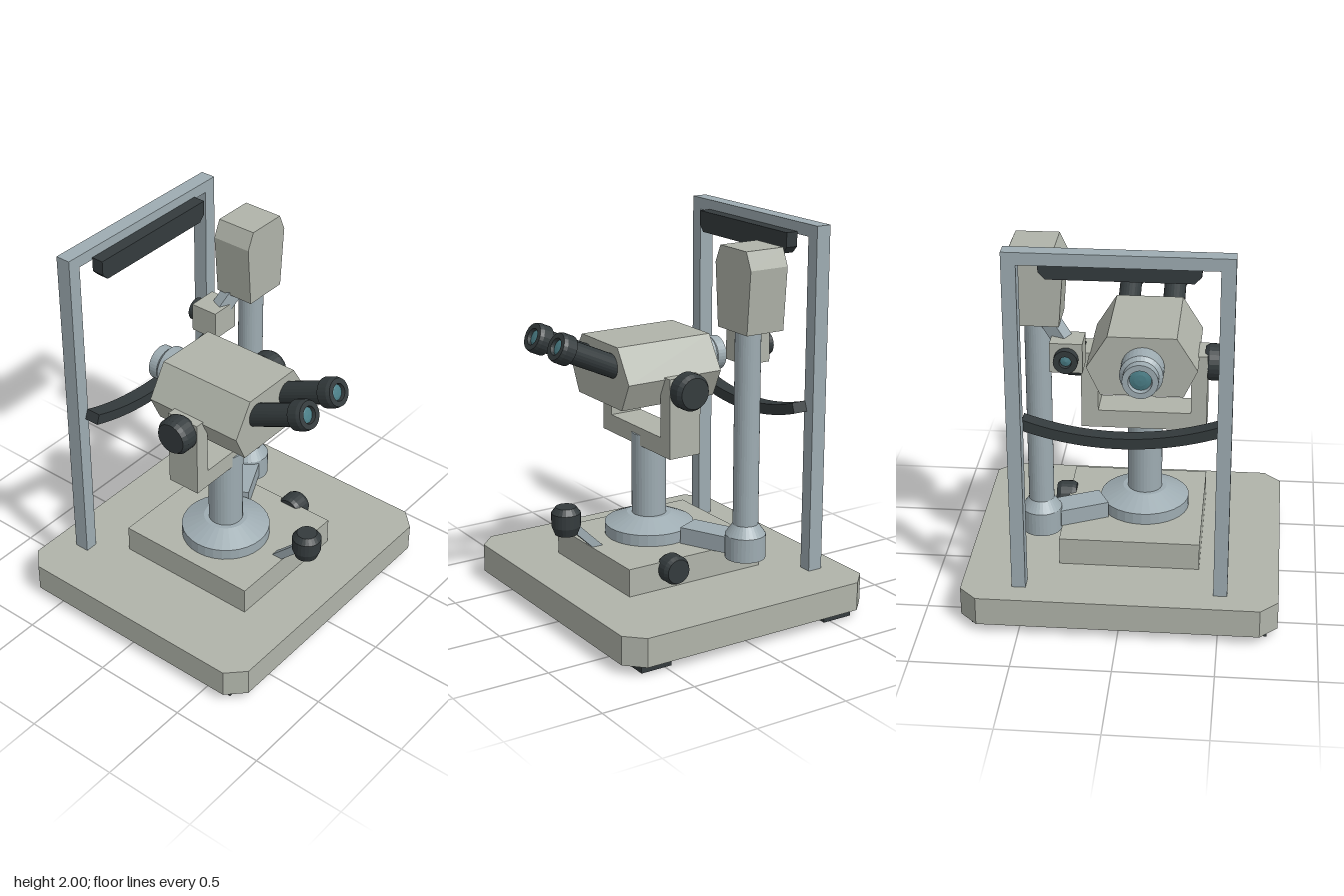
import * as THREE from 'three';

const mat = (color, extra = {}) => new THREE.MeshStandardMaterial({ color, flatShading: true, ...extra });

export function createModel() {
  const root = new THREE.Group();
  const paint = mat(0xb0b4aa), metal = mat(0x9eacb2), dark = mat(0x343b3d), glass = mat(0x4b7f88);
  const V = (x, y, z) => new THREE.Vector3(x, y, z);

  function add(name, geo, material, x = 0, y = 0, z = 0, parent = root) {
    const m = new THREE.Mesh(geo, material);
    m.name = name;
    m.position.set(x, y, z);
    parent.add(m);
    return m;
  }
  // Box given by its min and max corners
  function box(name, material, [x0, y0, z0], [x1, y1, z1]) {
    return add(name, new THREE.BoxGeometry(x1 - x0, y1 - y0, z1 - z0), material,
      (x0 + x1) / 2, (y0 + y1) / 2, (z0 + z1) / 2);
  }
  // Turned part: profile of [radius, height], its axis pointing along dir
  function turned(name, material, profile, pos, dir = V(0, 1, 0), seg = 32) {
    const geo = new THREE.LatheGeometry(profile.map(p => new THREE.Vector2(...p)), seg);
    const m = add(name, geo, material, pos.x, pos.y, pos.z);
    m.quaternion.setFromUnitVectors(V(0, 1, 0), dir.clone().normalize());
    return m;
  }
  // Front outline extruded from z0 to z1
  function prism(name, material, pts, z0, z1) {
    const shape = new THREE.Shape(pts.map(p => new THREE.Vector2(...p)));
    const geo = new THREE.ExtrudeGeometry(shape, { depth: z1 - z0, bevelEnabled: false });
    return add(name, geo, material, 0, 0, z0);
  }
  // Square bar between two points
  function bar(name, material, a, b, w, h) {
    const m = add(name, new THREE.BoxGeometry(w, h, a.distanceTo(b)), material);
    m.position.copy(a).lerp(b, 0.5);
    m.lookAt(b);
    return m;
  }
  const knobProfile = (r, len) => [
    [0, 0], [r * 0.85, 0], [r, len * 0.2], [r, len * 0.78], [r * 0.84, len], [0, len]];

  // Table plate with clipped corners, on four feet
  const X = 0.8, Z = 0.72, c = 0.09;
  const plate = prism('basePlate', paint, [
    [-X + c, -Z], [X - c, -Z], [X, -Z + c], [X, Z - c],
    [X - c, Z], [-X + c, Z], [-X, Z - c], [-X, -Z + c]], 0, 0.15);
  plate.rotation.x = -Math.PI / 2;
  plate.position.set(0, 0.05, 0);
  for (const sx of [-1, 1]) for (const sz of [-1, 1])
    add('foot', new THREE.BoxGeometry(0.2, 0.05, 0.17), dark, sx * 0.647, 0.025, sz * 0.547);

  // Head rest frame
  for (const s of [-1, 1])
    add('framePost', new THREE.BoxGeometry(0.07, 1.8, 0.08), metal, s * 0.508, 1.1, -0.555);
  box('frameTopBar', metal, [-0.473, 1.938, -0.595], [0.473, 2, -0.515]);
  prism('foreheadPad', dark, [
    [-0.35, 1.84], [0.35, 1.84], [0.383, 1.875], [0.383, 1.95], [-0.383, 1.95], [-0.383, 1.875]],
    -0.515, -0.45);

  // Sagging chin strap
  const strap = new THREE.Shape(), R = 1.48, half = Math.asin(0.495 / R), cy = 0.965 + R;
  strap.absarc(0, cy, R, -Math.PI / 2 - half, -Math.PI / 2 + half, false);
  strap.absarc(0, cy, R - 0.055, -Math.PI / 2 + half, -Math.PI / 2 - half, true);
  add('chinStrap', new THREE.ExtrudeGeometry(strap, { depth: 0.08, bevelEnabled: false, curveSegments: 14 }),
    dark, 0, 0, -0.515);

  // Sliding stage with its side knob
  box('slidingStage', paint, [-0.39, 0.2, -0.35], [0.33, 0.345, 0.44]);
  turned('stageKnob', dark, knobProfile(0.075, 0.105), V(0.298, 0.305, 0.195), V(1, 0, 0), 24);

  // Joystick
  bar('joystickStem', metal, V(-0.056, 0.31, 0.37), V(-0.056, 0.5, 0.565), 0.042, 0.042);
  turned('joystickKnob', dark, [
    [0, 0], [0.058, 0], [0.075, 0.045], [0.075, 0.115], [0.052, 0.145], [0, 0.145]],
    V(-0.056, 0.442, 0.577), V(0, 1, 0), 24);

  // Pivot disc and microscope column
  turned('pivotDisc', metal, [[0, 0], [0.232, 0], [0.232, 0.06], [0.115, 0.112], [0, 0.112]],
    V(-0.08, 0.345, 0.066));
  turned('microscopeColumn', metal, [[0, 0], [0.09, 0], [0.09, 0.445], [0, 0.445]], V(-0.08, 0.45, 0.066));

  // Fork carrying the microscope, with a knob on each side
  prism('fork', paint, [
    [-0.402, 0.84], [0.242, 0.84], [0.242, 1.255], [0.155, 1.255],
    [0.155, 0.935], [-0.32, 0.935], [-0.32, 1.255], [-0.402, 1.255]], -0.037, 0.145);
  for (const s of [-1, 1])
    turned('forkKnob', dark, knobProfile(0.095, 0.105), V(-0.08 + s * 0.307, 1.19, 0.053), V(s, 0, 0), 24);

  // Six-sided microscope body
  prism('microscopeBody', paint, [
    [-0.29, 1.1], [0.13, 1.1], [0.199, 1.245], [0.093, 1.415], [-0.253, 1.415], [-0.359, 1.245]],
    -0.19, 0.355);

  // Pair of eyepieces
  const tilt = THREE.MathUtils.degToRad(24.5), axis = V(0, Math.sin(tilt), Math.cos(tilt));
  for (const s of [-1, 1]) {
    const x = -0.082 + s * 0.118;
    const end = V(x, 1.453, 0.668);
    const at = d => end.clone().addScaledVector(axis, -d);
    turned('eyepieceTube', dark, [[0, 0], [0.058, 0], [0.058, 0.32], [0, 0.32]], at(0.37), axis, 24);
    turned('eyecup', dark, [
      [0, 0], [0.077, 0], [0.077, 0.055], [0.07, 0.075], [0.043, 0.075], [0.04, 0.055], [0, 0.055]],
      at(0.075), axis, 24);
    turned('eyepieceLens', glass, [[0.039, 0], [0.025, 0.005], [0, 0.007]], at(0.018), axis, 24);
  }

  // Objective facing the frame
  const back = V(0, 0, -1);
  turned('objective', metal, [
    [0, 0], [0.109, 0], [0.109, 0.105], [0.09, 0.125], [0.09, 0.175],
    [0.06, 0.175], [0.055, 0.15], [0, 0.15]], V(-0.085, 1.255, -0.185), back);
  turned('objectiveLens', glass, [[0.054, 0], [0.03, 0.006], [0, 0.008]], V(-0.085, 1.255, -0.336), back);

  // Swinging arm and lamp column
  bar('swingArm', metal, V(0.13, 0.388, -0.037), V(0.365, 0.388, -0.15), 0.145, 0.087);
  turned('lampColumn', metal, [
    [0, 0], [0.104, 0], [0.104, 0.125], [0.065, 0.18], [0.065, 1.2], [0, 1.2]], V(0.437, 0.32, -0.185));

  // Lamp housing
  prism('lampHousing', paint, [
    [0.315, 1.51], [0.56, 1.51], [0.585, 1.832], [0.546, 1.92], [0.33, 1.92], [0.29, 1.832]],
    -0.307, -0.09);

  // Projection head hung from the housing
  bar('projectorBracket', metal, V(0.282, 1.405, -0.28), V(0.41, 1.575, -0.22), 0.07, 0.075);
  box('projectorBox', paint, [0.194, 1.3, -0.377], [0.355, 1.453, -0.225]);
  turned('projectorRing', dark, [
    [0, 0], [0.06, 0], [0.06, 0.05], [0.03, 0.05], [0.027, 0.032], [0, 0.032]],
    V(0.273, 1.373, -0.37), back, 24);
  turned('projectorLens', glass, [[0.026, 0], [0, 0.006]], V(0.273, 1.373, -0.403), back, 24);

  return root;
}
